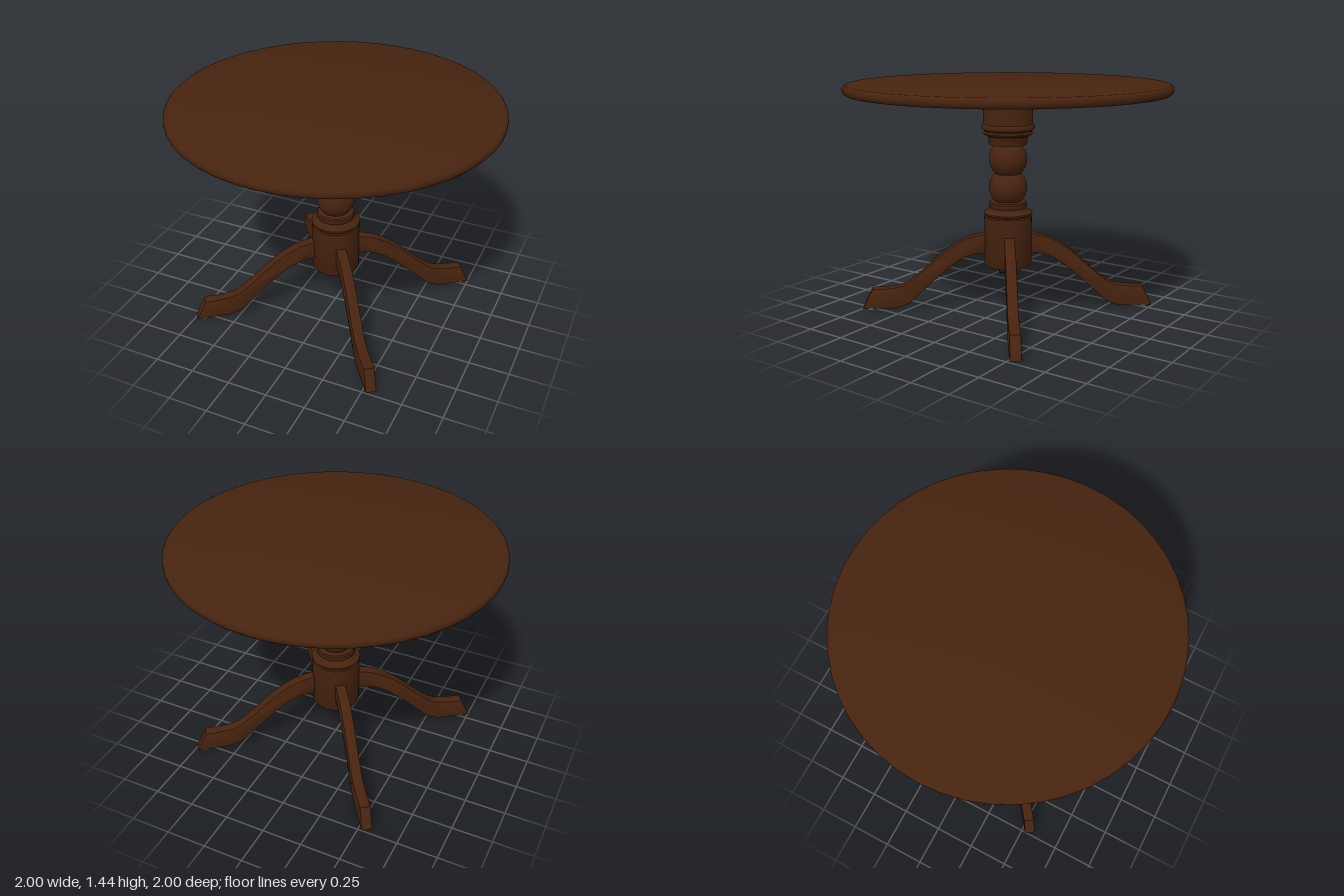
import * as THREE from 'three';
import { toCreasedNormals } from 'three/addons/utils/BufferGeometryUtils.js';

const wood = new THREE.MeshStandardMaterial({ color: 0x47230f });
wood.name = 'dark brown wood';
const metal = new THREE.MeshStandardMaterial({ color: 0x6b6b6b });
metal.name = 'grey metal';

const LEG_ANGLE = THREE.MathUtils.degToRad(37);

function mesh(name, geometry, material) {
  const m = new THREE.Mesh(geometry, material);
  m.name = name;
  return m;
}

// Turned part from [radius, height] pairs, listed bottom to top
function turned(name, profile, segments = 48) {
  const points = profile.map(([r, y]) => new THREE.Vector2(r, y));
  const g = new THREE.LatheGeometry(points, segments).toNonIndexed();
  return mesh(name, toCreasedNormals(g, 0.6), wood);
}

// Points of a ball between two neck heights
function ball(centre, radius, halfHeight) {
  const out = [];
  const limit = Math.asin(halfHeight / radius);
  for (let i = 0; i <= 12; i++) {
    const a = -limit + (2 * limit * i) / 12;
    out.push([radius * Math.cos(a), centre + radius * Math.sin(a)]);
  }
  return out;
}

// S-curved leg outline, drawn outward along x
function legGeometry() {
  const s = new THREE.Shape();
  s.moveTo(0.1, 0.375);
  s.lineTo(0.15, 0.37);
  s.splineThru([[0.22, 0.36], [0.32, 0.315], [0.445, 0.215], [0.57, 0.1], [0.63, 0.045], [0.71, 0.012]]
    .map(([x, y]) => new THREE.Vector2(x, y)));
  s.lineTo(0.925, 0.012);
  s.lineTo(0.865, 0.14);
  s.lineTo(0.77, 0.143);
  s.splineThru([[0.66, 0.165], [0.56, 0.238], [0.4, 0.38], [0.27, 0.46], [0.15, 0.495], [0.1, 0.497]]
    .map(([x, y]) => new THREE.Vector2(x, y)));
  s.closePath();
  const bevel = 0.006;
  const width = 0.066;
  const g = new THREE.ExtrudeGeometry(s, {
    depth: width - 2 * bevel, curveSegments: 24, bevelEnabled: true,
    bevelSize: bevel, bevelThickness: bevel, bevelOffset: -bevel, bevelSegments: 2,
  });
  g.translate(0, 0, -width / 2 + bevel);
  return toCreasedNormals(g, 0.6);
}

export function createModel() {
  const table = new THREE.Group();
  table.name = 'pedestalTable';

  // Round top with a softened rim
  table.add(turned('tableTop', [
    [0, 1.38], [0.98, 1.38], [0.99, 1.385], [0.998, 1.395], [1, 1.409],
    [0.998, 1.423], [0.99, 1.433], [0.978, 1.438], [0, 1.438],
  ]));

  // Mounting disc under the top
  table.add(turned('mountingPlate', [[0, 1.347], [0.305, 1.347], [0.305, 1.385], [0, 1.385]]));

  // Turned column: lower block, two balls, upper block
  table.add(turned('column', [
    [0, 0.288], [0.142, 0.288], [0.15, 0.3], [0.15, 0.605], [0.144, 0.612],
    [0.144, 0.618], [0.154, 0.623], [0.152, 0.632], [0.132, 0.642],
    [0.122, 0.652], [0.115, 0.662], [0.12, 0.672], [0.12, 0.692], [0.113, 0.7],
    ...ball(0.79, 0.119, 0.087),
    ...ball(0.967, 0.119, 0.087),
    [0.118, 1.06], [0.124, 1.108], [0.128, 1.115], [0.148, 1.122],
    [0.154, 1.132], [0.144, 1.142], [0.152, 1.15], [0.164, 1.157],
    [0.166, 1.168], [0.163, 1.18], [0.154, 1.188], [0.154, 1.35], [0, 1.35],
  ]));

  // Four legs with small floor pads
  const legGeo = legGeometry();
  const padGeo = new THREE.CylinderGeometry(0.026, 0.026, 0.014, 20);
  for (let i = 0; i < 4; i++) {
    const unit = new THREE.Group();
    unit.name = 'legUnit' + (i + 1);
    const pad = mesh('floorPad', padGeo, metal);
    pad.position.set(0.875, 0.007, 0);
    unit.add(mesh('leg', legGeo, wood), pad);
    unit.rotation.y = LEG_ANGLE + (i * Math.PI) / 2;
    table.add(unit);
  }

  // Bolts holding the plate: washer and hexagonal head
  const washerGeo = new THREE.CylinderGeometry(0.027, 0.027, 0.006, 20);
  const headGeo = new THREE.CylinderGeometry(0.016, 0.016, 0.014, 6);
  for (const [x, z] of [[0.195, -0.14], [0.18, 0.165], [-0.16, -0.18], [-0.155, 0.16]]) {
    const bolt = new THREE.Group();
    bolt.name = 'plateBolt';
    const head = mesh('boltHead', headGeo, metal);
    head.position.y = -0.01;
    bolt.add(mesh('washer', washerGeo, metal), head);
    bolt.position.set(x, 1.345, z);
    table.add(bolt);
  }

  return table;
}
